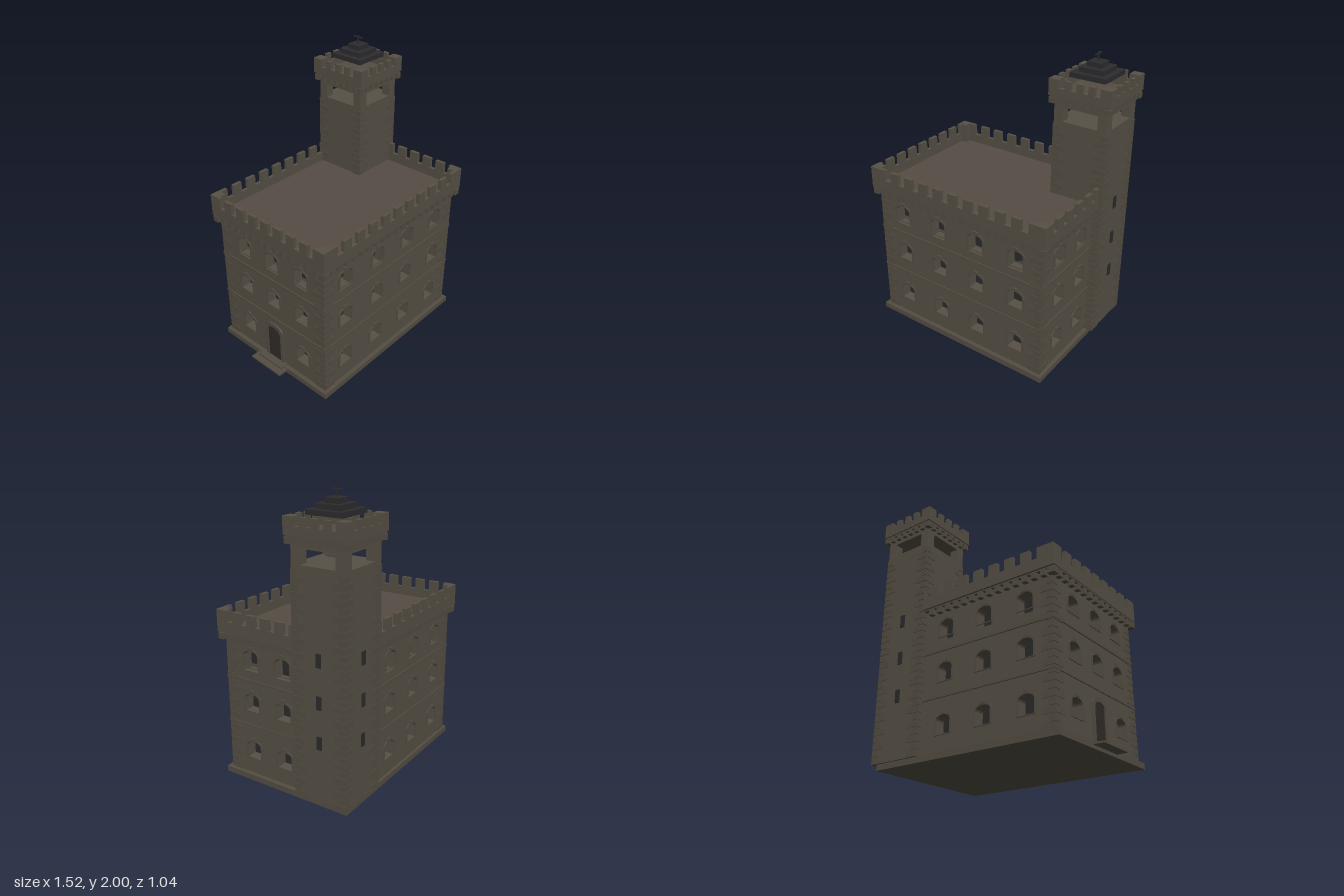
import * as THREE from 'three';
import { mergeGeometries } from 'three/addons/utils/BufferGeometryUtils.js';

const mat = (name, color) => Object.assign(new THREE.MeshStandardMaterial({ color }), { name });
const stone = mat('stone', 0x565045);
const trim = mat('trim stone', 0x534d42);
const deck = mat('roof deck', 0x554d44);
const slate = mat('dark slate', 0x2c2c2e);
const glass = mat('dark glass', 0x2b2b2c);
const wood = mat('dark wood', 0x2f2b27);

// Box from its limits
function box(x0, x1, y0, y1, z0, z1) {
  return new THREE.BoxGeometry(x1 - x0, y1 - y0, z1 - z0)
    .translate((x0 + x1) / 2, (y0 + y1) / 2, (z0 + z1) / 2);
}

function add(parent, name, material, list) {
  const geos = Array.isArray(list) ? list : [list];
  if (!geos.length) return;
  const mesh = new THREE.Mesh(geos.length > 1 ? mergeGeometries(geos) : geos[0], material);
  mesh.name = name;
  parent.add(mesh);
}

// Four outward-facing frames: u runs along the side, local +z points out
function makeSides(parent, label, x0, x1, z0, z1) {
  const defs = [
    ['Front', 0, 0, z1, 0, x0, x1],
    ['Right', x1, 0, 0, Math.PI / 2, -z1, -z0],
    ['Back', 0, 0, z0, Math.PI, -x1, -x0],
    ['Left', x0, 0, 0, -Math.PI / 2, z0, z1],
  ];
  return defs.map(([n, x, y, z, r, u0, u1]) => {
    const group = new THREE.Group();
    group.name = label + n;
    group.position.set(x, y, z);
    group.rotation.y = r;
    parent.add(group);
    return { group, u0, u1, min: u0, max: u1 };
  });
}

// Flat-bottomed outline with a shallow arched top
function arch(Kind, u, half, y0, y1, rise) {
  const p = new Kind();
  p.moveTo(u - half, y0);
  p.lineTo(u + half, y0);
  p.lineTo(u + half, y1 - rise);
  for (let i = 1; i <= 8; i++) {
    const a = (i / 8) * Math.PI;
    p.lineTo(u + half * Math.cos(a), y1 - rise + rise * Math.sin(a));
  }
  p.closePath();
  return p;
}
const extrude = (shape, depth) => new THREE.ExtrudeGeometry(shape, { depth, bevelEnabled: false });

// Crenellated run along one side, cut off where the tower stands
function parapet(s, corner, gaps, merlon, y0, yGap, y1, t) {
  const gap = (s.u1 - s.u0 - 2 * corner - (gaps - 1) * merlon) / gaps;
  const list = [box(s.min, s.max, y0, yGap, -t, 0)];
  const block = (a, b) => {
    a = Math.max(a, s.min); b = Math.min(b, s.max);
    if (b - a > 0.005) list.push(box(a, b, yGap, y1, -t, 0));
  };
  block(s.u0, s.u0 + corner);
  for (let i = 1; i < gaps; i++) {
    const a = s.u0 + corner + i * gap + (i - 1) * merlon;
    block(a, a + merlon);
  }
  block(s.u1 - corner, s.u1);
  add(s.group, 'parapet', stone, list);
}

// Small corbels under the parapet
function corbels(s, pitch, y0, y1, depth) {
  const list = [];
  const n = Math.round((s.u1 - s.u0 - pitch / 2) / pitch);
  const step = (s.u1 - s.u0 - pitch / 2) / n;
  for (let i = 0; i <= n; i++) {
    const a = s.u0 + i * step;
    if (a >= s.min - 0.001 && a + pitch / 2 <= s.max + 0.001) list.push(box(a, a + pitch / 2, y0, y1, -depth, -0.006));
  }
  add(s.group, 'corbels', trim, list);
}

// Alternating long and short corner stones at both ends of a side
function quoins(s, y0, y1, h) {
  const list = [];
  for (let i = 0; y0 + (i + 1) * h <= y1 + 0.001; i++) {
    const w = i % 2 ? 0.045 : 0.085, y = y0 + i * h;
    list.push(box(s.u0 - 0.004, s.u0 + w, y, y + h - 0.003, -0.01, 0.004));
    list.push(box(s.u1 - w, s.u1 + 0.004, y, y + h - 0.003, -0.01, 0.004));
  }
  add(s.group, 'quoins', trim, list);
}

export function createModel() {
  const model = new THREE.Group();
  model.name = 'castleHouse';
  add(model, 'plinth', trim, box(-0.69, 0.7, 0, 0.04, -0.48, 0.51));

  // Main walls with deep window openings
  const T = 0.07;
  const rows = [[0.155, 0.155, 0.277], [0.5, 0.5, 0.622], [0.785, 0.81, 0.925]]; // hole bottom, pane bottom, top
  const cols = [[-0.463, -0.15, 0.162, 0.476], [-0.28, -0.02], [0.463, 0.15, -0.162], [-0.24, 0.02, 0.28]];
  makeSides(model, 'wall', -0.66, 0.67, -0.46, 0.48).forEach((s, k) => {
    const inset = k % 2 ? T : 0;
    const shape = new THREE.Shape();
    shape.moveTo(s.u0 + inset, 0.04);
    shape.lineTo(s.u1 - inset, 0.04);
    shape.lineTo(s.u1 - inset, 1.03);
    shape.lineTo(s.u0 + inset, 1.03);
    shape.closePath();
    const panes = [], frames = [];
    rows.forEach(([y0, yp, y1], r) => cols[k].forEach((u) => {
      if (k === 3 && r === 0 && u === 0.02) return; // the door stands here
      shape.holes.push(arch(THREE.Path, u, 0.055, y0, y1, 0.03));
      panes.push(box(u - 0.057, u + 0.057, yp, y1 + 0.002, -T - 0.004, -T + 0.002));
      const frame = arch(THREE.Shape, u, 0.07, yp - 0.006, y1 + 0.012, 0.04);
      frame.holes.push(arch(THREE.Path, u, 0.056, yp, y1, 0.03));
      frames.push(extrude(frame, 0.006));
      frames.push(extrude(arch(THREE.Shape, u, 0.02, y1 + 0.004, y1 + 0.026, 0.001), 0.01));
    }));
    add(s.group, 'wall', stone, extrude(shape, T).translate(0, 0, -T));
    add(s.group, 'windowPanes', glass, panes);
    add(s.group, 'windowFrames', trim, frames);
    add(s.group, 'stringCourses', trim, [[0.39, 0.402], [0.705, 0.723]].map(([a, b]) =>
      box(s.u0 - 0.007, s.u1 + 0.007, a, b, -0.01, 0.008)));
    quoins(s, 0.04, 0.98, 0.047);

    // Side door with a stone surround
    if (k === 3) {
      const surround = arch(THREE.Shape, 0.01, 0.085, 0.04, 0.345, 0.05);
      surround.holes.push(arch(THREE.Path, 0.01, 0.06, 0.041, 0.315, 0.04));
      add(s.group, 'doorSurround', trim, extrude(surround, 0.012));
      add(s.group, 'door', wood, extrude(arch(THREE.Shape, 0.01, 0.06, 0.04, 0.315, 0.04), 0.004));
      add(s.group, 'doorPlanks', wood, [-0.045, -0.008, 0.029].map((u) => box(u, u + 0.03, 0.045, 0.28, 0.003, 0.008)));
    }
  });
  add(model, 'doorStep', trim, [box(-0.765, -0.68, 0.022, 0.034, -0.13, 0.15), box(-0.72, -0.66, 0.034, 0.046, -0.1, 0.12)]);

  // Main roof and battlements, open where the tower rises
  add(model, 'roofDeck', deck, box(-0.695, 0.7, 1.02, 1.04, -0.487, 0.515));
  const top = makeSides(model, 'battlement', -0.7, 0.712, -0.5, 0.52);
  top[1].max = 0.11;
  top[2].min = -0.35;
  top.forEach((s, k) => {
    parapet(s, k % 2 ? 0.09 : 0.122, k % 2 ? 8 : 10, 0.069, 1.03, 1.105, 1.18, 0.025);
    corbels(s, 0.07, 0.98, 1.022, 0.05);
  });
  add(model, 'cornerMerlons', stone, [
    box(-0.7, -0.63, 1.03, 1.18, 0.45, 0.52),
    box(0.642, 0.712, 1.03, 1.18, 0.45, 0.52),
    box(-0.7, -0.63, 1.03, 1.18, -0.5, -0.43),
  ]);

  // Tower, centred on its own axis
  const tower = new THREE.Group();
  tower.name = 'tower';
  tower.position.set(0.54, 0, -0.302);
  model.add(tower);
  const H = 0.19, P = 0.065;
  add(tower, 'towerShaft', stone, box(-H, H, 0.04, 1.565, -H, H));
  const signs = [[-1, -1], [-1, 1], [1, -1], [1, 1]];
  add(tower, 'belfryPiers', stone, signs.map(([a, b]) =>
    box(-P / 2, P / 2, 1.565, 1.66, -P / 2, P / 2).translate(a * (H - P / 2), 0, b * (H - P / 2))));
  add(tower, 'belfryCeiling', stone, box(-H, H, 1.66, 1.725, -H, H));
  add(tower, 'towerDeck', deck, box(-0.212, 0.212, 1.72, 1.742, -0.212, 0.212));
  makeSides(tower, 'towerFace', -H, H, -H, H).forEach((s, k) => {
    quoins(s, 0.04, 1.56, 0.047);
    if (k === 1 || k === 2) {
      add(s.group, 'slitWindows', glass, [0.42, 0.688, 0.96].map((y) => box(-0.018, 0.018, y, y + 0.088, -0.002, 0.007)));
    }
  });
  makeSides(tower, 'towerBattlement', -0.22, 0.22, -0.22, 0.22).forEach((s) => {
    parapet(s, 0.073, 4, 0.042, 1.735, 1.79, 1.845, 0.025);
    corbels(s, 0.062, 1.685, 1.722, 0.04);
  });
  add(tower, 'towerCornerMerlons', stone, signs.map(([a, b]) =>
    box(-0.036, 0.036, 1.735, 1.845, -0.036, 0.036).translate(a * 0.184, 0, b * 0.184)));

  // Bell hanging in the open belfry
  add(tower, 'bell', trim, [
    box(-0.035, 0.035, 1.615, 1.665, -0.035, 0.035),
    box(-0.045, 0.045, 1.6, 1.615, -0.045, 0.045),
  ]);

  // Stepped cap with a thin vane
  add(tower, 'steppedCap', slate, [0.128, 0.088, 0.05].map((h, i) =>
    box(-h, h, 1.845 + i * 0.032, 1.877 + i * 0.032, -h, h)));
  add(tower, 'vane', slate, [
    box(-0.004, 0.004, 1.94, 2, -0.004, 0.004),
    box(-0.004, 0.004, 1.982, 1.99, -0.04, 0.04),
  ]);
  return model;
}
